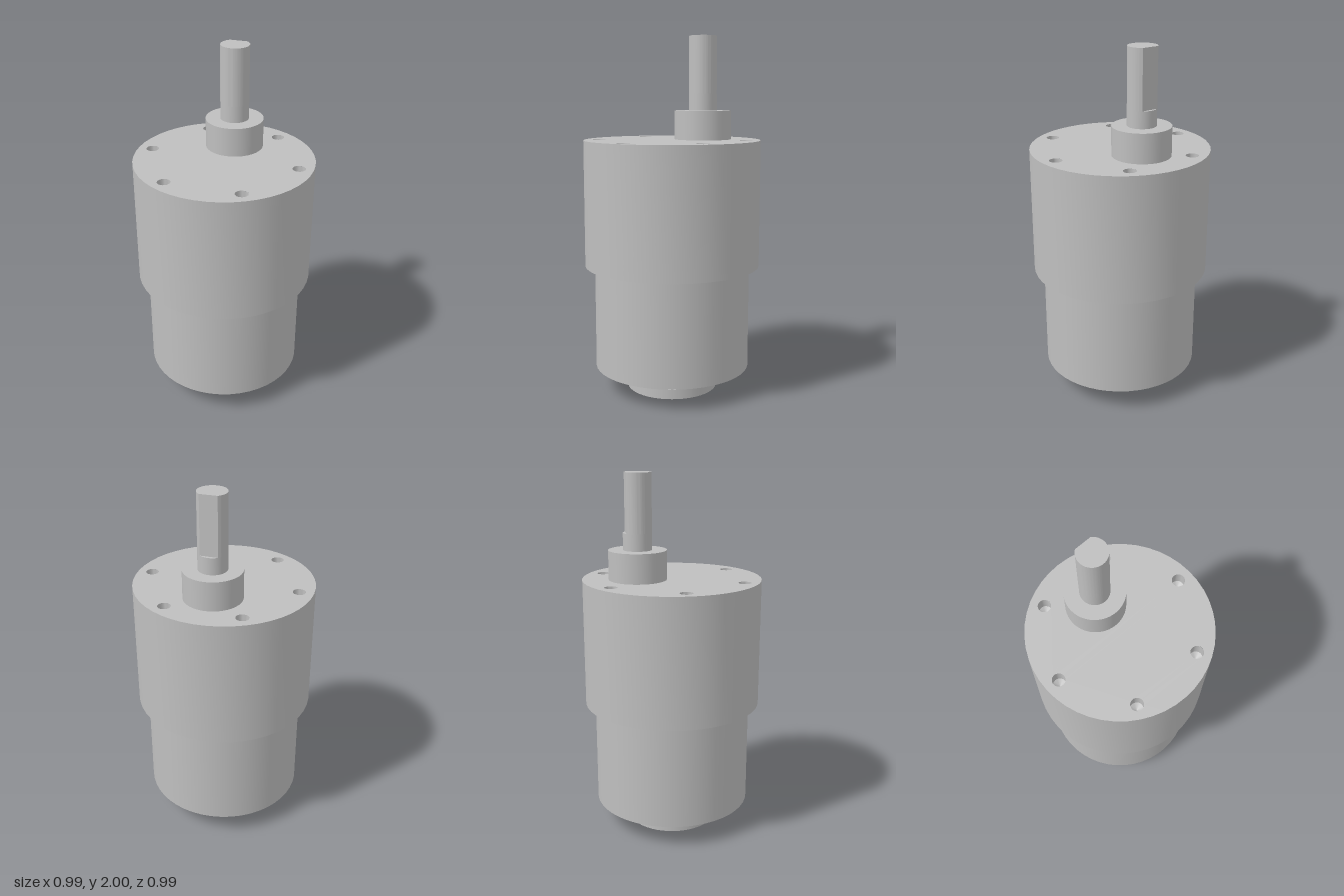
import * as THREE from 'three';
import { toCreasedNormals } from 'three/addons/utils/BufferGeometryUtils.js';

const SEG = 48;

export function createModel() {
  const motor = new THREE.Group();
  motor.name = 'gearMotor';
  const metal = new THREE.MeshStandardMaterial({ color: 0xbfbfbf });
  metal.name = 'grey metal';

  const add = (name, geometry, x = 0, y = 0, z = 0, parent = motor) => {
    const mesh = new THREE.Mesh(geometry, metal);
    mesh.name = name;
    mesh.position.set(x, y, z);
    parent.add(mesh);
    return mesh;
  };
  // Upright cylinder between two heights
  const cylinder = (name, r, y0, y1, z = 0) =>
    add(name, new THREE.CylinderGeometry(r, r, y1 - y0, SEG), 0, (y0 + y1) / 2, z);

  // Motor can with its rear bearing
  cylinder('rearCap', 0.257, 0, 0.055);
  cylinder('rearCollar', 0.213, 0.055, 0.128);
  cylinder('motorCan', 0.44, 0.128, 0.715);

  // Gearbox: wall and underside, then a face plate pierced by the screw holes
  const R = 0.495, bottom = 0.715, top = 1.425;
  const gearbox = new THREE.Group();
  gearbox.name = 'gearbox';
  motor.add(gearbox);
  const shell = [[0.43, bottom], [R, bottom], [R, top]].map(p => new THREE.Vector2(...p));
  add('gearboxShell', toCreasedNormals(new THREE.LatheGeometry(shell, SEG), 0.6), 0, 0, 0, gearbox);

  const face = new THREE.Shape().absarc(0, 0, R, 0, Math.PI * 2);
  const holeR = 0.035, holeCircle = 0.416;
  const well = [[holeR, 0], [holeR, -0.08], [0, -0.108]].map(p => new THREE.Vector2(...p));
  const wellGeometry = toCreasedNormals(new THREE.LatheGeometry(well, 24), 0.6);
  for (let i = 0; i < 6; i++) {
    const a = i * Math.PI / 3;
    const x = holeCircle * Math.cos(a), z = holeCircle * Math.sin(a);
    face.holes.push(new THREE.Path().absarc(x, -z, holeR, 0, Math.PI * 2, true));
    add('screwHole', wellGeometry, x, top, z, gearbox);
  }
  add('facePlate', new THREE.ShapeGeometry(face, 24).rotateX(-Math.PI / 2), 0, top, 0, gearbox);

  // Offset output boss and the round root of the shaft
  const shaftZ = -0.19, shaftR = 0.079, flatStart = 1.68;
  cylinder('outputBoss', 0.16, top, 1.587, shaftZ);
  cylinder('shaftRoot', shaftR, 1.587, flatStart, shaftZ);

  // D-shaped shaft end, flat towards the back
  const half = Math.acos(0.063 / shaftR);
  const dShape = new THREE.Shape().absarc(0, 0, shaftR, Math.PI / 2 + half, Math.PI * 2.5 - half);
  const dGeometry = new THREE.ExtrudeGeometry(dShape, {
    depth: 2 - flatStart, bevelEnabled: false, curveSegments: 40,
  }).rotateX(-Math.PI / 2);
  add('shaftEnd', toCreasedNormals(dGeometry, 0.4), 0, flatStart, shaftZ);

  return motor;
}
